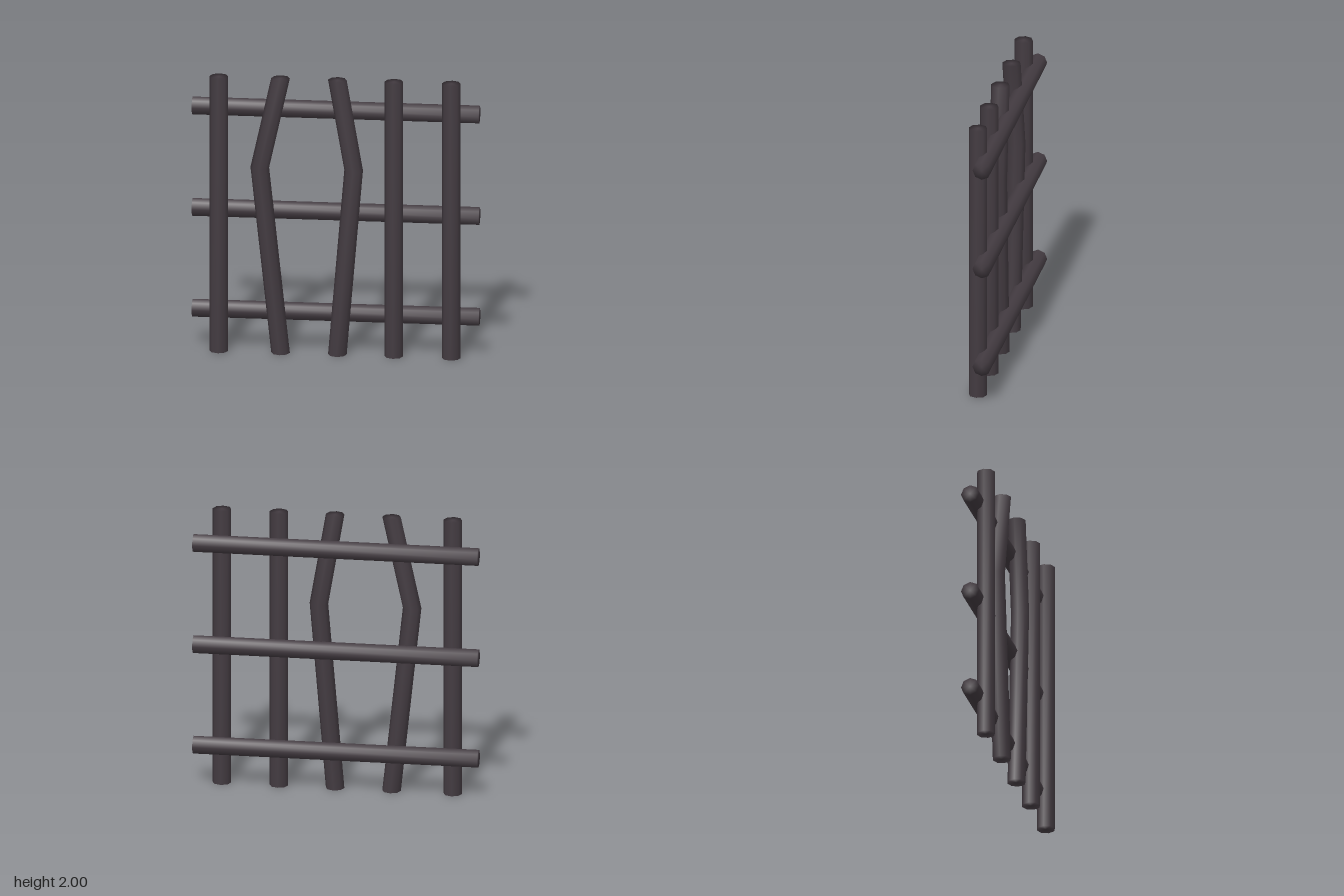
import * as THREE from 'three';
import { mergeVertices } from 'three/addons/utils/BufferGeometryUtils.js';

const RADIUS = 0.065;
const LENGTH = 2;
const BEND_Y = 1.345;

// Eight-sided bar with normals blended over sides and ends
function softBar(segments, shape) {
  const geo = new THREE.CylinderGeometry(RADIUS, RADIUS, LENGTH, 8, segments);
  if (shape) shape(geo.attributes.position);
  geo.deleteAttribute('uv');
  geo.deleteAttribute('normal');
  const merged = mergeVertices(geo, 1e-4);
  merged.computeVertexNormals();
  return merged;
}

export function createModel() {
  const group = new THREE.Group();
  group.name = 'bentBarGrate';
  const iron = new THREE.MeshStandardMaterial({ color: 0x433b41 });
  iron.name = 'darkIron';

  const add = (name, geo, x, y, z) => {
    const mesh = new THREE.Mesh(geo, iron);
    mesh.name = name;
    mesh.position.set(x, y, z);
    group.add(mesh);
    return mesh;
  };

  // Straight upright bars
  const straight = softBar(1);
  [-0.81, 0.41, 0.81].forEach((x, i) => add(`uprightBar${i + 1}`, straight, x, 1, 0.032));

  // Horizontal crossbars behind the uprights
  [0.285, 1.02, 1.76].forEach((y, i) => {
    add(`crossbar${i + 1}`, straight, 0, y, -0.032).rotation.z = Math.PI / 2;
  });

  // Bars pried apart: the middle ring is moved sideways, ends stay level
  const bent = (shift) => softBar(2, (p) => {
    for (let i = 0; i < p.count; i++) {
      if (Math.abs(p.getY(i)) < 0.01) {
        p.setXYZ(i, p.getX(i) + shift, BEND_Y - 1, p.getZ(i) - 0.005);
      }
    }
  });
  add('bentBarRight', bent(-0.145), -0.38, 1, 0.032);
  add('bentBarLeft', bent(0.113), 0.016, 1, 0.032);

  return group;
}
